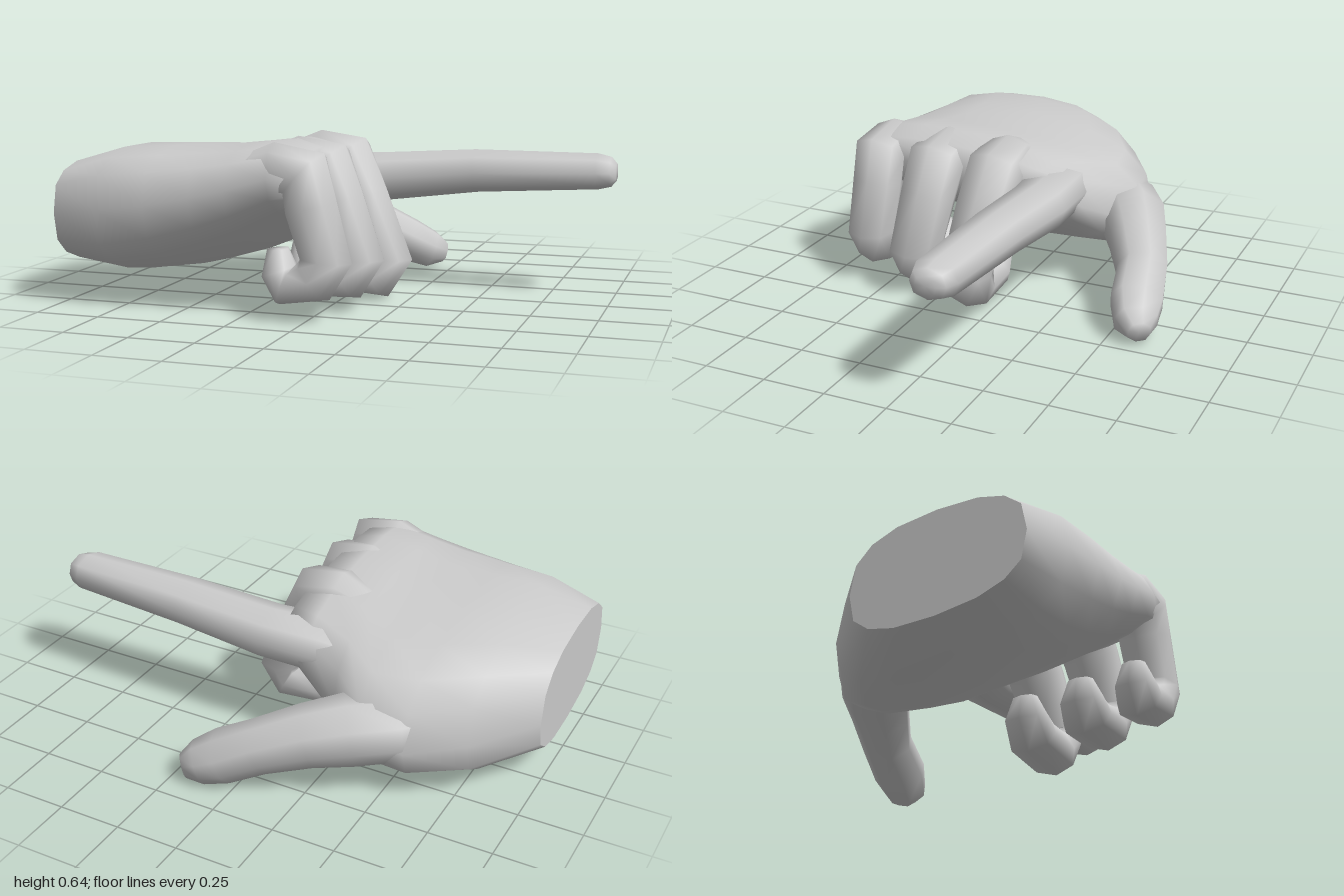
import * as THREE from 'three';

const V = (x, y, z) => new THREE.Vector3(x, y, z);
const power = (v, e) => Math.sign(v) * Math.abs(v) ** e;
const material = new THREE.MeshStandardMaterial({ color: 0xcccccc });

// Skins a list of equal rings; the far end is closed smoothly, the near end with a flat cap.
function skin(name, rings) {
  const n = rings[0].length, pos = [], idx = [];
  const add = (p) => pos.push(p.x, p.y, p.z) / 3 - 1;
  const centre = (r) => r.reduce((s, p) => s.add(p), V(0, 0, 0)).divideScalar(n);
  rings.forEach((r) => r.forEach(add));
  for (let i = 0; i < rings.length - 1; i++) {
    for (let j = 0; j < n; j++) {
      const k = (j + 1) % n, a = i * n + j, b = i * n + k;
      idx.push(a, b, b + n, a, b + n, a + n);
    }
  }
  const last = (rings.length - 1) * n;
  const tip = add(centre(rings[rings.length - 1]));
  for (let j = 0; j < n; j++) idx.push(last + j, last + (j + 1) % n, tip);
  const base = pos.length / 3;
  rings[0].forEach(add);
  const mid = add(centre(rings[0]));
  for (let j = 0; j < n; j++) idx.push(base + (j + 1) % n, base + j, mid);

  const g = new THREE.BufferGeometry();
  g.setAttribute('position', new THREE.Float32BufferAttribute(pos, 3));
  g.setIndex(idx);
  g.computeVertexNormals();
  const mesh = new THREE.Mesh(g, material);
  mesh.name = name;
  return mesh;
}

// Finger swept along stations [x, y, z, half width, half thickness]; side is the width direction.
function finger(name, stations, side, sides = 8) {
  const pts = stations.map((s) => V(s[0], s[1], s[2]));
  const rings = stations.map((s, i) => {
    const t = V(0, 0, 0);
    if (i > 0) t.add(pts[i].clone().sub(pts[i - 1]).normalize());
    if (i < pts.length - 1) t.add(pts[i + 1].clone().sub(pts[i]).normalize());
    t.normalize();
    const w = side.clone().addScaledVector(t, -side.dot(t)).normalize();
    const h = t.clone().cross(w);
    return Array.from({ length: sides }, (_, j) => {
      const a = (j / sides) * Math.PI * 2;
      return pts[i].clone()
        .addScaledVector(w, power(Math.cos(a), 0.7) * s[3])
        .addScaledVector(h, Math.sin(a) * s[4]);
    });
  });
  return skin(name, rings);
}

// Palm lofted along x: [x, thumb edge z, outer edge z, top y at both edges, bottom y at both edges]
function palm() {
  const stations = [
    [-1, -0.08, 0.61, 0.49, 0.55, 0.1, 0.16],
    [-0.8, -0.28, 0.66, 0.49, 0.62, 0.02, 0.14],
    [-0.6, -0.41, 0.675, 0.45, 0.635, 0.02, 0.18],
    [-0.42, -0.44, 0.675, 0.43, 0.645, 0.07, 0.24],
    [-0.28, -0.33, 0.675, 0.49, 0.65, 0.13, 0.3],
    [-0.12, -0.27, 0.67, 0.53, 0.665, 0.25, 0.38],
    [-0.01, -0.24, 0.66, 0.54, 0.63, 0.36, 0.43],
  ];
  const sides = 16;
  return skin('palm', stations.map(([x, z0, z1, t0, t1, b0, b1]) =>
    Array.from({ length: sides }, (_, j) => {
      const a = (j / sides) * Math.PI * 2;
      const u = (power(Math.cos(a), 0.8) + 1) / 2;
      const v = (1 - power(Math.sin(a), 0.65)) / 2;
      const top = t0 + (t1 - t0) * u ** 0.4, bottom = b0 + (b1 - b0) * u;
      return V(x, bottom + (top - bottom) * v, z0 + (z1 - z0) * u);
    })));
}

export function createModel() {
  const hand = new THREE.Group();
  hand.name = 'pointingHand';
  hand.add(palm());

  // Straight index finger, its root buried in the palm
  hand.add(finger('indexFinger', [
    [-0.45, 0.4, -0.12, 0.06, 0.05],
    [-0.15, 0.44, -0.15, 0.125, 0.1],
    [0.08, 0.445, -0.165, 0.115, 0.097],
    [0.45, 0.48, -0.17, 0.105, 0.085],
    [0.93, 0.495, -0.165, 0.09, 0.07],
    [0.98, 0.495, -0.163, 0.07, 0.058],
    [1, 0.495, -0.163, 0.04, 0.035],
  ], V(0, 0, 1)));

  // Thumb, spreading out and drooping towards its tip
  hand.add(finger('thumb', [
    [-0.75, 0.28, -0.08, 0.06, 0.06],
    [-0.52, 0.28, -0.31, 0.13, 0.13],
    [-0.38, 0.27, -0.4, 0.13, 0.13],
    [-0.24, 0.24, -0.47, 0.115, 0.115],
    [-0.08, 0.185, -0.545, 0.1, 0.1],
    [0.06, 0.115, -0.575, 0.105, 0.095],
    [0.15, 0.075, -0.605, 0.085, 0.08],
    [0.2, 0.06, -0.637, 0.045, 0.045],
  ], V(0.5, 0.25, 0.8).normalize()));

  // Curled fingers share one bent path: [x, y, width factor, half thickness, share of bend shift]
  const curl = [
    [-0.45, 0.46, 0.5, 0.05, 0],
    [-0.12, 0.545, 0.95, 0.1, 0],
    [-0.01, 0.53, 1.05, 0.11, 0],
    [0.06, 0.38, 1, 0.1, 0.5],
    [0.16, 0.16, 0.95, 0.1, 1],
    [0.12, 0.085, 0.92, 0.09, 1],
    [-0.03, 0.095, 0.9, 0.08, 0.5],
    [-0.08, 0.16, 0.8, 0.065, 0.3],
    [-0.085, 0.24, 0.45, 0.04, 0.3],
  ];
  // [name, z at knuckle, z at bend, bend shift in x, in y, half width]
  [
    ['middleFinger', 0.05, 0.1, 0, 0, 0.112],
    ['ringFinger', 0.31, 0.345, -0.04, 0.04, 0.112],
    ['littleFinger', 0.565, 0.572, -0.09, 0.07, 0.1],
  ].forEach(([name, z0, z1, dx, dy, w]) => {
    hand.add(finger(name, curl.map(([x, y, f, h, t], i) =>
      [x + dx * t, y + dy * t, z0 + (z1 - z0) * Math.min(1, Math.max(0, (i - 2) / 2)), w * f, h],
    ), V(0, 0, 1)));
  });
  return hand;
}
